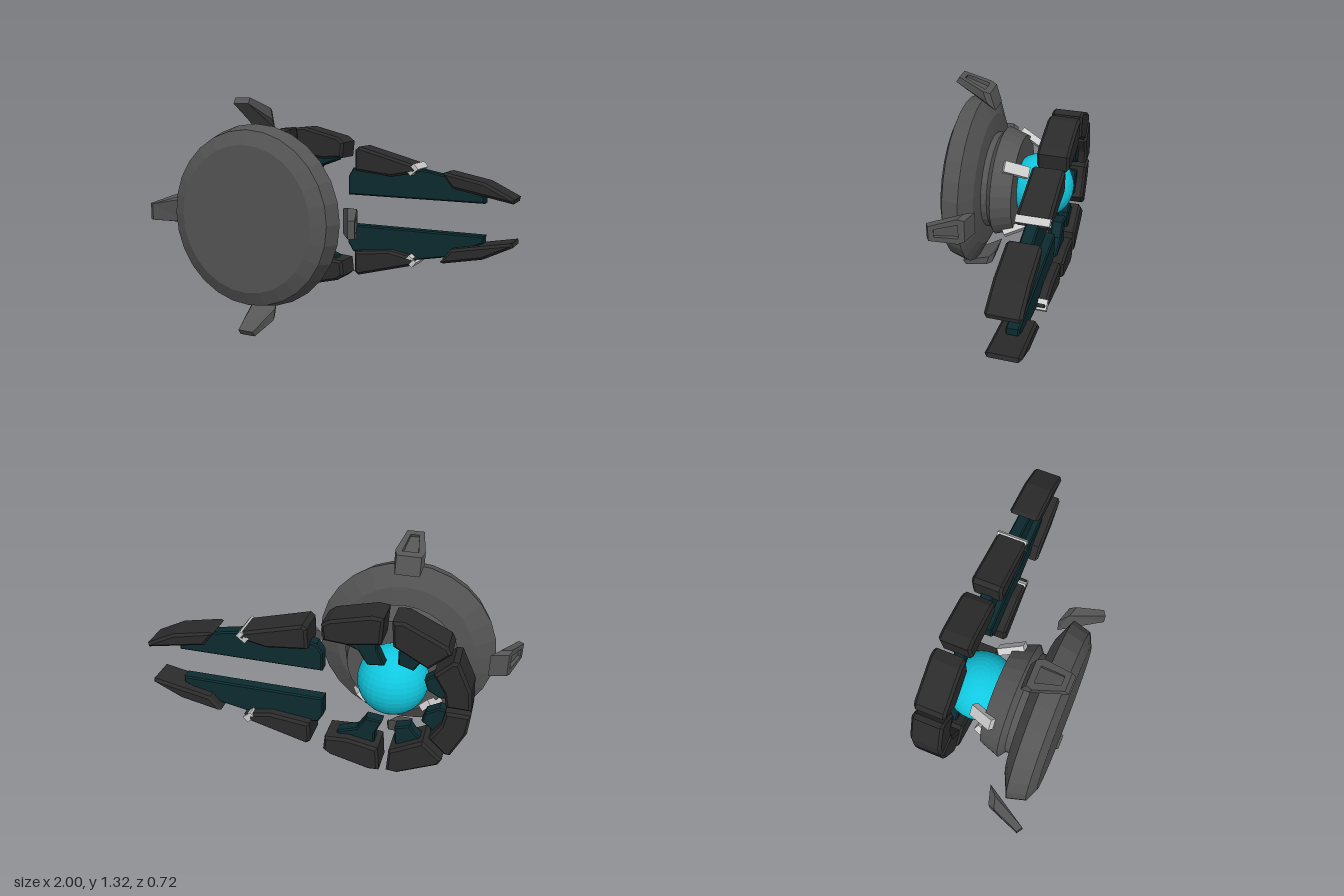
import * as THREE from 'three';

const CX = -0.34, CY = 0.67; // hub axis

const mat = (color, extra = {}) => {
  const m = new THREE.MeshStandardMaterial({ flatShading: true, ...extra });
  m.color.set(color);
  return m;
};

function add(parent, name, geometry, material) {
  const mesh = new THREE.Mesh(geometry, material);
  mesh.name = name;
  parent.add(mesh);
  return mesh;
}

// Chamfered slab: outline in x/y around the hub axis, between two depths
function slab(points, z0, z1, bevel, flip) {
  const shape = new THREE.Shape(points.map(([x, y]) => new THREE.Vector2(x, y * flip)));
  const g = new THREE.ExtrudeGeometry(shape, {
    depth: z1 - z0 - 2 * bevel, bevelThickness: bevel, bevelSize: bevel,
    bevelOffset: -bevel, bevelSegments: 1,
  });
  return g.translate(0, 0, z0 + bevel);
}

// Tapered fin layer: flat outline, then mapped between an inner and outer slope
const lerp = THREE.MathUtils.lerp;
function finLayer(t0, t1, withHole) {
  const v = (x, y) => new THREE.Vector2(x, y);
  const shape = new THREE.Shape([v(-0.068, 0), v(0.068, 0), v(0.082, 0.2), v(0.047, 1), v(-0.047, 1), v(-0.082, 0.2)]);
  if (withHole) shape.holes.push(new THREE.Path([v(-0.045, 0.18), v(-0.024, 0.85), v(0.024, 0.85), v(0.045, 0.18)]));
  const g = new THREE.ExtrudeGeometry(shape, { depth: t1 - t0, bevelEnabled: false });
  const p = g.attributes.position;
  for (let i = 0; i < p.count; i++) {
    const w = p.getX(i), s = p.getY(i), t = p.getZ(i) + t0;
    const innerR = s < 0.2 ? lerp(0.49, 0.54, s / 0.2) : lerp(0.54, 0.63, (s - 0.2) / 0.8);
    p.setXYZ(i, -w,
      lerp(innerR, lerp(0.59, 0.66, s), t),
      lerp(lerp(0.125, 0.36, s), lerp(0.155, 0.34, s), t));
  }
  g.computeVertexNormals();
  return g;
}

export function createModel() {
  const model = new THREE.Group();
  model.name = 'clawDevice';
  const hub = new THREE.Group();
  hub.name = 'hub';
  hub.position.set(CX, CY, 0);
  model.add(hub);

  const grey = mat(0x555555), dark = mat(0x2b2b2b), teal = mat(0x0c2b30);
  const cyan = mat(0x10c8e0), light = mat(0xcccccc);

  // Stepped round body, turned about the z axis
  const profile = [
    [0, -0.025], [0.29, -0.025], [0.33, 0.09], [0.29, 0.12], [0.29, 0.155],
    [0.40, 0.165], [0.518, 0.22], [0.49, 0.32], [0.41, 0.355], [0, 0.355],
  ].map(([r, z]) => new THREE.Vector2(r, z));
  add(hub, 'roundBody', new THREE.LatheGeometry(profile, 28).rotateX(Math.PI / 2), grey);

  // Glowing core
  add(hub, 'core', new THREE.SphereGeometry(0.195, 32, 20), cyan).position.z = -0.14;

  // Four recessed fins floating around the rim
  for (let i = 0; i < 4; i++) {
    const fin = new THREE.Group();
    fin.name = 'fin';
    fin.rotation.z = i * Math.PI / 2;
    add(fin, 'finPlate', finLayer(0, 0.6, false), grey);
    add(fin, 'finFrame', finLayer(0.6, 1, true), grey);
    hub.add(fin);
  }

  // Four clamps that grip the core, on the diagonals
  for (let i = 0; i < 4; i++) {
    const clamp = new THREE.Group();
    clamp.name = 'clamp';
    clamp.rotation.z = Math.PI / 4 + i * Math.PI / 2;
    const bar = add(clamp, 'clampBar', new THREE.BoxGeometry(0.04, 0.065, 0.15), light);
    bar.position.set(0.285, 0, -0.033);
    bar.rotation.y = 0.5;
    hub.add(clamp);
  }

  // Armour blocks of one arm, from the back of the ring to the pointed prong
  const armour = [
    [[-0.445, 0.015], [-0.435, 0.13], [-0.36, 0.29], [-0.33, 0.29], [-0.24, 0.2], [-0.3, 0.1], [-0.315, 0.015]],
    [[-0.32, 0.33], [-0.3, 0.37], [-0.08, 0.475], [-0.02, 0.47], [-0.03, 0.33], [-0.12, 0.28], [-0.21, 0.23]],
    [[0.02, 0.48], [0.08, 0.485], [0.3, 0.43], [0.34, 0.40], [0.33, 0.31], [0.2, 0.30], [0.03, 0.33]],
    [[0.415, 0.36], [0.44, 0.38], [0.77, 0.29], [0.80, 0.25], [0.74, 0.235], [0.64, 0.215], [0.415, 0.24]],
    [[0.94, 0.25], [0.96, 0.255], [1.18, 0.21], [1.34, 0.13], [1.335, 0.105], [1.0, 0.17]],
  ];
  // Thin inner blades behind the blocks
  const blades = [
    [[-0.36, 0.05], [-0.31, 0.22], [-0.25, 0.18], [-0.19, 0.13], [-0.21, 0.07], [-0.28, 0.03]],
    [[-0.26, 0.29], [-0.08, 0.38], [-0.05, 0.28], [-0.05, 0.2], [-0.13, 0.175], [-0.16, 0.22]],
    [[0.06, 0.38], [0.29, 0.36], [0.27, 0.29], [0.16, 0.25], [0.11, 0.17], [0.02, 0.18], [0.06, 0.27]],
    [[0.35, 0.09], [1.17, 0.09], [1.17, 0.13], [0.96, 0.23], [0.78, 0.265], [0.5, 0.28], [0.38, 0.25], [0.35, 0.2]],
  ];
  for (const flip of [1, -1]) {
    const arm = new THREE.Group();
    arm.name = flip > 0 ? 'upperArm' : 'lowerArm';
    for (const pts of armour) add(arm, 'armourBlock', slab(pts, -0.357, -0.18, 0.014, flip), dark);
    for (const pts of blades) add(arm, 'innerBlade', slab(pts, -0.305, -0.235, 0.008, flip), teal);
    // Pale joint at the end of the long block
    const joint = add(arm, 'joint', new THREE.BoxGeometry(0.06, 0.04, 0.176), light);
    joint.position.set(0.768, 0.262 * flip, -0.269);
    joint.rotation.z = 0.7 * flip;
    hub.add(arm);
  }
  return model;
}
